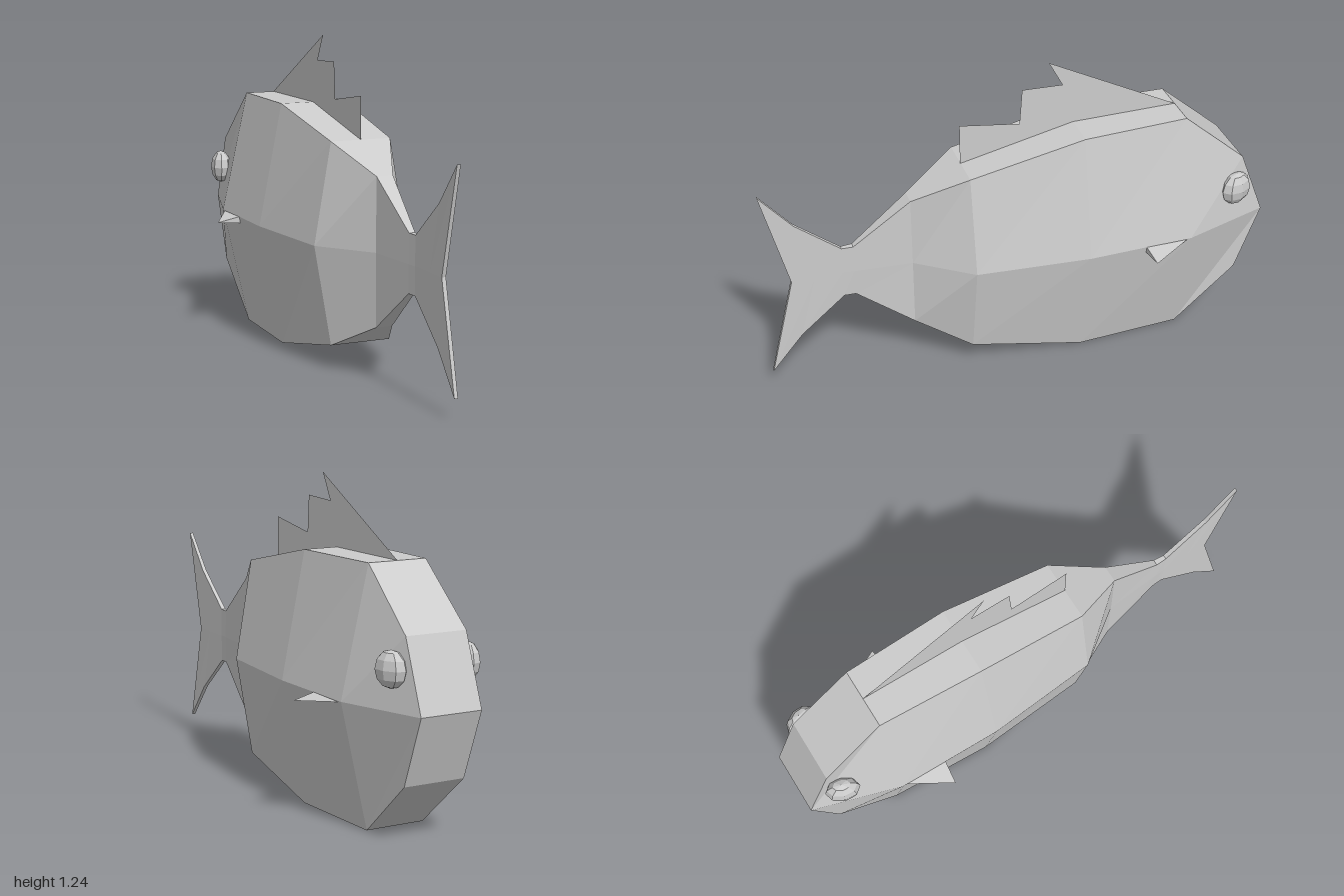
import * as THREE from 'three';
import { ConvexGeometry } from 'three/addons/geometries/ConvexGeometry.js';

const MID_Y = 0.485;

// Cross-sections from nose to tail:
// [z of ridge and belly, z of flank line, top y, bottom y, half width at edges, half width at flank]
const SECTIONS = [
  [-0.9, -1.0, 0.75, 0.22, 0.125, 0.125],
  [-0.65, -0.65, 0.97, 0.0, 0.12, 0.23],
  [-0.23, -0.23, 0.97, 0.0, 0.137, 0.233],
  [0.22, 0.22, 0.875, 0.095, 0.122, 0.19],
  [0.43, 0.43, 0.768, 0.203, 0.033, 0.035],
  [0.655, 0.655, 0.597, 0.377, 0.012, 0.014],
  [0.7, 0.7, 0.597, 0.377, 0.009, 0.01],
  [0.875, 0.81, 0.74, 0.23, 0.008, 0.009],
  [1.0, 0.9, 0.89, 0.08, 0.007, 0.008],
];

// Skins six-cornered rings and closes both ends with two quads each
function bodyGeometry() {
  const points = [];
  for (const [z, zMid, top, bottom, edge, flank] of SECTIONS) {
    points.push(
      edge, top, z, flank, MID_Y, zMid, edge, bottom, z,
      -edge, bottom, z, -flank, MID_Y, zMid, -edge, top, z
    );
  }
  const index = [];
  const quad = (a, b, c, d) => index.push(a, b, c, a, c, d);
  const last = (SECTIONS.length - 1) * 6;
  for (let i = 0; i < last; i += 6) {
    for (let j = 0; j < 6; j++) {
      const k = (j + 1) % 6;
      quad(i + j, i + 6 + j, i + 6 + k, i + k);
    }
  }
  quad(0, 1, 4, 5);
  quad(1, 2, 3, 4);
  quad(last + 5, last + 4, last + 1, last);
  quad(last + 4, last + 3, last + 2, last + 1);

  const geometry = new THREE.BufferGeometry();
  geometry.setAttribute('position', new THREE.Float32BufferAttribute(points, 3));
  geometry.setIndex(index);
  geometry.computeVertexNormals();
  return geometry;
}

export function createModel() {
  const group = new THREE.Group();
  const skin = new THREE.MeshStandardMaterial({ color: 0xcccccc, flatShading: true });
  const sheet = new THREE.MeshStandardMaterial({
    color: 0xcccccc, flatShading: true, side: THREE.DoubleSide,
  });
  const add = (name, geometry, material = skin) => {
    const mesh = new THREE.Mesh(geometry, material);
    mesh.name = name;
    group.add(mesh);
    return mesh;
  };

  // Body running into the forked tail
  add('bodyAndTail', bodyGeometry());

  // Jagged paper-thin dorsal fin, drawn as (z, y) and turned into the centre plane
  const outline = [
    [-0.65, 0.97], [-0.13, 1.243], [-0.185, 1.14], [-0.025, 1.147],
    [-0.015, 1.003], [0.222, 1.04], [0.222, 0.875], [-0.23, 0.965],
  ].map(([z, y]) => new THREE.Vector2(z, y));
  const fin = new THREE.ShapeGeometry(new THREE.Shape(outline));
  fin.rotateY(-Math.PI / 2);
  add('dorsalFin', fin, sheet);

  for (const [side, s] of [['left', 1], ['right', -1]]) {
    // Flattened faceted eye, following the slope of the cheek
    const eye = add(side + 'Eye', new THREE.SphereGeometry(0.068, 8, 6));
    eye.scale.x = 0.62;
    eye.position.set(s * 0.16, 0.633, -0.863);
    eye.rotation.y = s * 0.3;

    // Small wedge-shaped side fin
    add(side + 'SideFin', new ConvexGeometry([
      new THREE.Vector3(s * 0.22, 0.483, -0.65),
      new THREE.Vector3(s * 0.22, 0.487, -0.46),
      new THREE.Vector3(s * 0.22, 0.457, -0.46),
      new THREE.Vector3(s * 0.32, 0.465, -0.47),
    ]));
  }
  return group;
}
